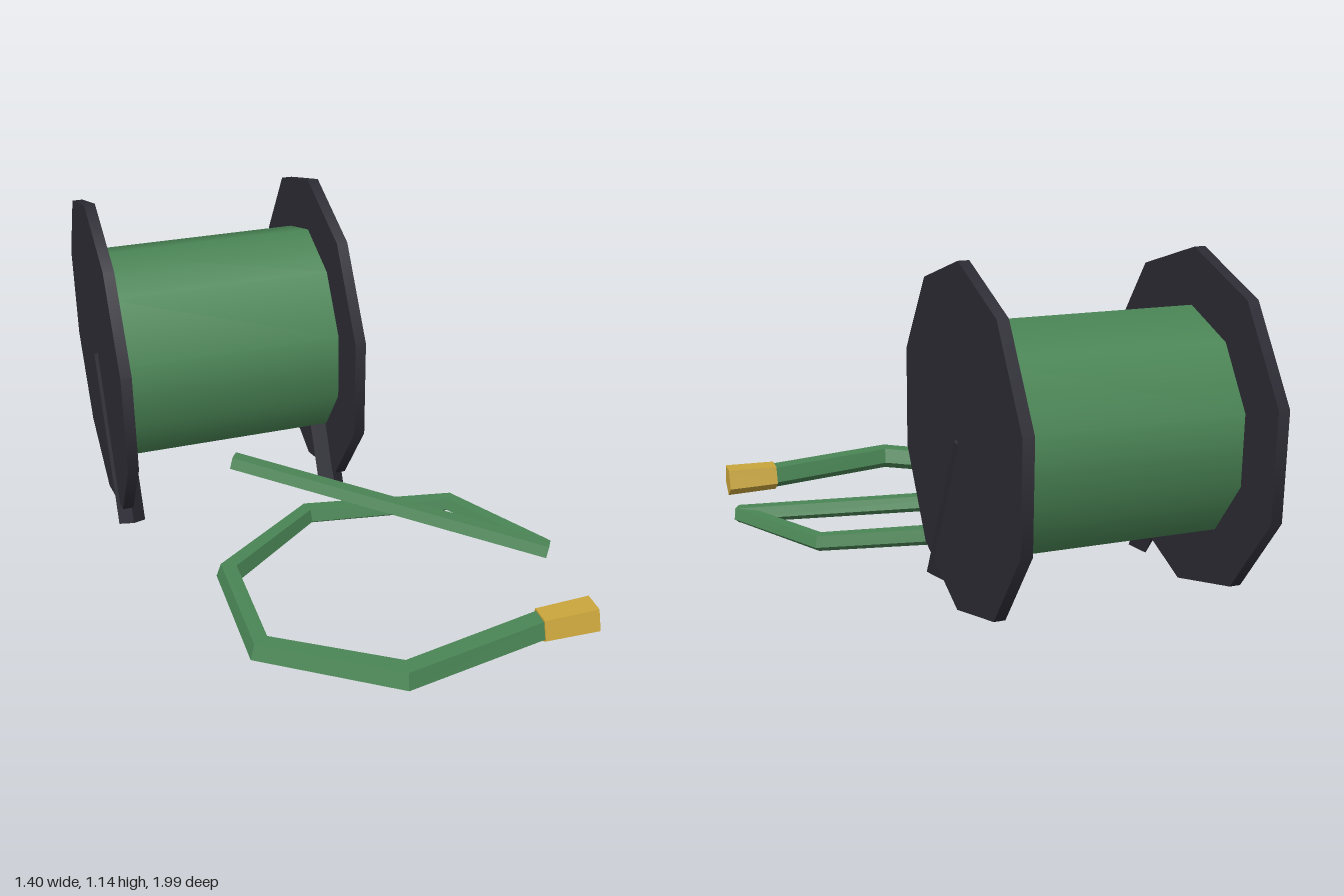
import * as THREE from 'three';

const mat = (name, color) => {
  const m = new THREE.MeshStandardMaterial({ color });
  m.name = name;
  return m;
};

const faceted = (geo) => {
  const g = geo.index ? geo.toNonIndexed() : geo;
  g.computeVertexNormals();
  return g;
};

// Five-sided tube through points [x, y, z, radius], with an edge pointing down
function hoseGeometry(path) {
  const sides = 5, pos = [];
  const pts = path.map((p) => new THREE.Vector3(p[0], p[1], p[2]));
  const dir = (i) => pts[i + 1].clone().sub(pts[i]).normalize();
  const rings = pts.map((p, i) => {
    const t = new THREE.Vector3();
    if (i > 0) t.add(dir(i - 1));
    if (i < pts.length - 1) t.add(dir(i));
    t.normalize();
    const s = t.clone().cross(new THREE.Vector3(0, 1, 0)).normalize();
    const u = s.clone().cross(t);
    return Array.from({ length: sides }, (_, k) => {
      const a = -Math.PI / 2 + (k * 2 * Math.PI) / sides, r = path[i][3];
      return p.clone().addScaledVector(s, r * Math.cos(a)).addScaledVector(u, r * Math.sin(a));
    });
  });
  const tri = (...v) => v.forEach((q) => pos.push(q.x, q.y, q.z));
  const last = rings.length - 1;
  for (let k = 0; k < sides; k++) {
    const n = (k + 1) % sides;
    for (let i = 0; i < last; i++) {
      const a = rings[i], b = rings[i + 1];
      tri(a[k], b[k], b[n]);
      tri(a[k], b[n], a[n]);
    }
    tri(pts[0], rings[0][k], rings[0][n]);
    tri(pts[last], rings[last][n], rings[last][k]);
  }
  const g = new THREE.BufferGeometry();
  g.setAttribute('position', new THREE.Float32BufferAttribute(pos, 3));
  return faceted(g);
}

export function createModel() {
  const model = new THREE.Group();
  model.name = 'hoseReel';
  const green = mat('hoseGreen', 0x4a8555);
  const black = mat('frameBlack', 0x2c2b34);
  const brass = mat('nozzleBrass', 0xc9a53c);

  const add = (name, geo, material, x = 0, y = 0, z = 0) => {
    const m = new THREE.Mesh(geo, material);
    m.name = name;
    m.position.set(x, y, z);
    model.add(m);
    return m;
  };
  // Cylinder lying along x with a corner at the bottom
  const lying = (rEnd, rStart, length, sides) =>
    new THREE.CylinderGeometry(rEnd, rStart, length, sides, 1, false, Math.PI / 2).rotateZ(-Math.PI / 2);

  // Reel
  const cx = -0.2725, cy = 0.573, cz = -0.457;
  add('drum', lying(0.38, 0.38, 0.77, 10), green, cx, cy, cz);

  // Side discs and slanted legs
  const footY = 0.021, footZ = -0.17;
  const dy = cy - footY, dz = footZ - cz;
  for (const [side, s] of [['left', 1], ['right', -1]]) {
    add(side + 'Disc', lying(0.568, 0.568, 0.037, 10), black, cx + s * 0.397, cy, cz);
    const leg = faceted(new THREE.CylinderGeometry(0.047, 0.047, Math.hypot(dy, dz), 4));
    add(side + 'Leg', leg, black, cx + s * 0.38, (cy + footY) / 2, (cz + footZ) / 2)
      .rotation.x = -Math.atan2(dz, dy);
  }

  // Hose: stretch coming off the drum, then the loop on the ground
  add('hoseLead', hoseGeometry([
    [-0.28, 0.235, -0.125, 0.035],
    [0.683, 0.058, 0.486, 0.035],
  ]), green);
  add('hoseLoop', hoseGeometry([
    [0.675, 0.06, 0.475, 0.034],
    [0.463, 0.062, 0.113, 0.035],
    [-0.05, 0.062, 0.03, 0.039],
    [-0.405, 0.062, 0.288, 0.046],
    [-0.405, 0.063, 0.696, 0.047],
    [-0.016, 0.064, 0.95, 0.05],
    [0.49, 0.064, 0.852, 0.05],
  ]), green);

  // Nozzle
  add('nozzle', faceted(lying(0.063, 0.058, 0.19, 5)), brass, 0.565, 0.064, 0.855);

  return model;
}
